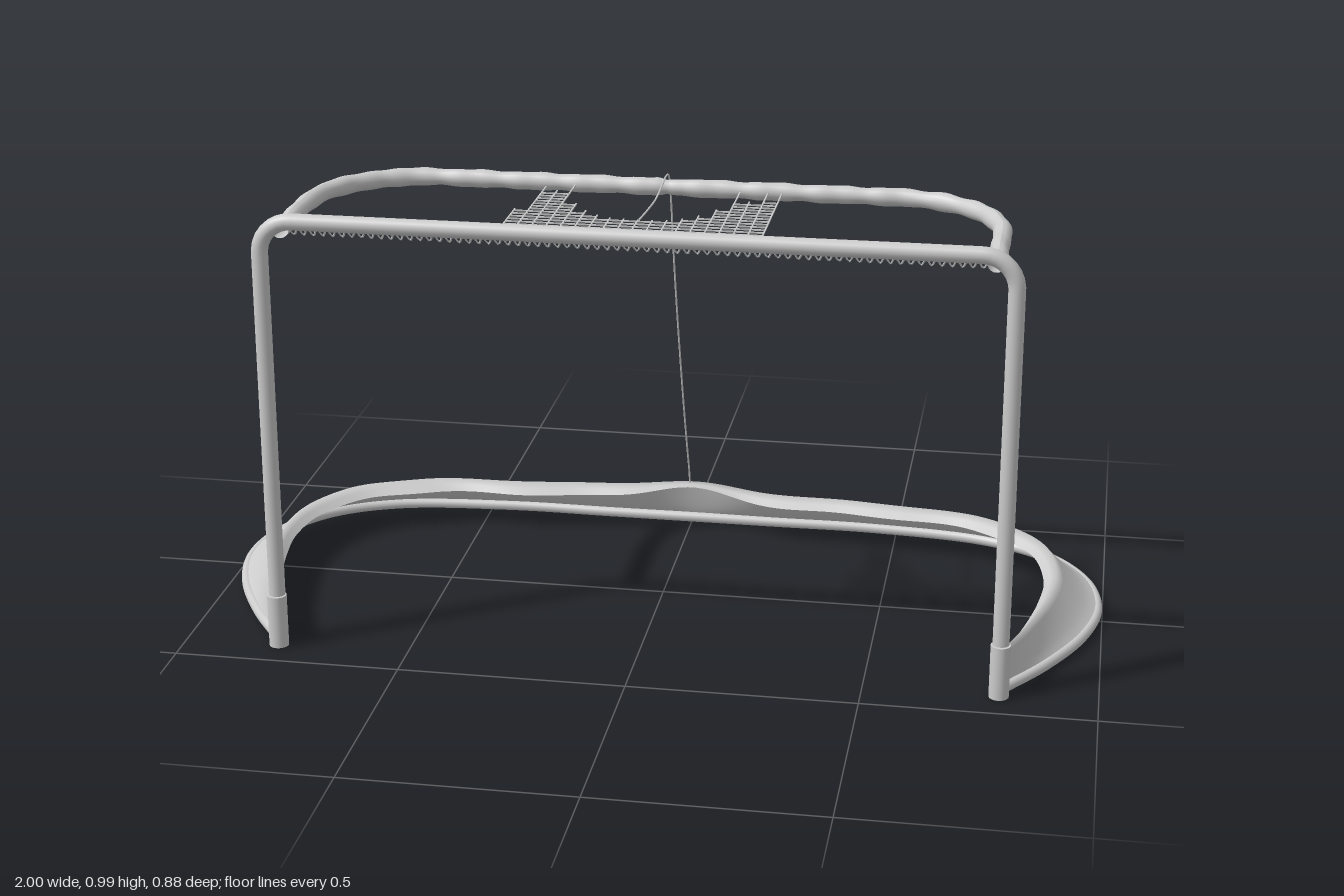
import * as THREE from 'three';
import { mergeGeometries } from 'three/addons/utils/BufferGeometryUtils.js';

const grey = new THREE.MeshStandardMaterial({ color: 0xcccccc, side: THREE.DoubleSide });
const V = (x, y, z) => new THREE.Vector3(x, y, z);

function add(group, name, geometry) {
  const mesh = new THREE.Mesh(geometry, grey);
  mesh.name = name;
  group.add(mesh);
  return mesh;
}

// Right half of a floor outline [x, z], mirrored into one curve ending back at the other post
function outline(half, y) {
  const right = half.map(([x, z]) => V(x, y, z));
  const left = half.slice(0, -1).reverse().map(([x, z]) => V(-x, y, z));
  return new THREE.CatmullRomCurve3([...right, ...left]);
}

// Thin lacing cord zigzagging between two rails
function lacing(count, pointAt) {
  const pts = [];
  for (let i = 0; i <= count * 2; i++) pts.push(pointAt(i / (count * 2), i % 2));
  return new THREE.TubeGeometry(new THREE.CatmullRomCurve3(pts), count * 8, 0.0022, 4);
}

// Path made of straight runs with rounded corners
function frameCurve() {
  const path = new THREE.CurvePath();
  const x = 0.79, y = 0.973, r = 0.07, z = 0.414, k = r * 0.45;
  path.add(new THREE.LineCurve3(V(-x, 0.02, z), V(-x, y - r, z)));
  path.add(new THREE.CubicBezierCurve3(V(-x, y - r, z), V(-x, y - k, z), V(-x + k, y, z), V(-x + r, y, z)));
  path.add(new THREE.LineCurve3(V(-x + r, y, z), V(x - r, y, z)));
  path.add(new THREE.CubicBezierCurve3(V(x - r, y, z), V(x - k, y, z), V(x, y - k, z), V(x, y - r, z)));
  path.add(new THREE.LineCurve3(V(x, y - r, z), V(x, 0.02, z)));
  return path;
}

export function createModel() {
  const goal = new THREE.Group();
  goal.name = 'goal';

  // Front posts and crossbar in one bent pipe
  add(goal, 'frontFrame', new THREE.TubeGeometry(frameCurve(), 220, 0.018, 18));

  // Sleeves at the post feet and lacing behind the posts
  for (const s of [-1, 1]) {
    const sleeve = add(goal, 'postSleeve', new THREE.CylinderGeometry(0.0215, 0.0215, 0.12, 24));
    sleeve.position.set(s * 0.79, 0.06, 0.418);
    add(goal, 'postLacing', lacing(40, (t, odd) =>
      V(s * (0.787 + odd * 0.006), 0.12 + t * 0.81, odd ? 0.388 : 0.4)));
  }
  add(goal, 'crossbarLacing', lacing(70, (t, odd) =>
    V(-0.73 + t * 1.46, odd ? 0.938 : 0.956, odd ? 0.389 : 0.402)));

  // Padded top shelf bar with a slightly lumpy cover
  const shelfCurve = new THREE.CurvePath();
  const sx = 0.748, sz = -0.053;
  shelfCurve.add(new THREE.LineCurve3(V(-sx, 0.952, 0.4), V(-sx, 0.952, 0.2)));
  shelfCurve.add(new THREE.CubicBezierCurve3(V(-sx, 0.952, 0.2), V(-sx, 0.952, 0.07), V(-0.66, 0.952, sz), V(-0.5, 0.952, sz)));
  shelfCurve.add(new THREE.LineCurve3(V(-0.5, 0.952, sz), V(0.5, 0.952, sz)));
  shelfCurve.add(new THREE.CubicBezierCurve3(V(0.5, 0.952, sz), V(0.66, 0.952, sz), V(sx, 0.952, 0.07), V(sx, 0.952, 0.2)));
  shelfCurve.add(new THREE.LineCurve3(V(sx, 0.952, 0.2), V(sx, 0.952, 0.4)));
  const bar = new THREE.TubeGeometry(shelfCurve, 200, 0.0195, 16);
  const pos = bar.attributes.position, nor = bar.attributes.normal;
  for (let i = 0; i < pos.count; i++) {
    const x = pos.getX(i), z = pos.getZ(i);
    const lump = 0.0012 * Math.sin(x * 47 + z * 61) + 0.0008 * Math.sin(x * 93 - z * 37)
      - 0.005 * Math.exp(-((x / 0.012) ** 2));
    pos.setXYZ(i, x + nor.getX(i) * lump, pos.getY(i) + nor.getY(i) * lump, z + nor.getZ(i) * lump);
  }
  bar.computeVertexNormals();
  add(goal, 'shelfBar', bar);

  // Base pipe on the floor
  const baseHalf = [[0.8, 0.4], [0.88, 0.28], [0.957, 0.12], [0.987, -0.03], [0.96, -0.18],
    [0.87, -0.31], [0.72, -0.39], [0.45, -0.424], [0.2, -0.424], [0, -0.424]];
  const crestHalf = [[0.8, 0.4], [0.842, 0.28], [0.882, 0.12], [0.894, -0.01], [0.865, -0.15],
    [0.78, -0.26], [0.64, -0.325], [0.42, -0.35], [0.2, -0.368], [0, -0.4]];
  const lipHalf = [[0.79, 0.4], [0.825, 0.28], [0.857, 0.12], [0.866, 0], [0.835, -0.14],
    [0.745, -0.24], [0.6, -0.3], [0.4, -0.318], [0.2, -0.337], [0, -0.362]];
  const base = outline(baseHalf, 0.014);
  add(goal, 'basePipe', new THREE.TubeGeometry(base, 180, 0.0125, 14));

  // Cloth skirt: rises from the base pipe to a crest, then folds inward
  const crest = outline(crestHalf, 0.11), lip = outline(lipHalf, 0.088);
  const columns = 180, rows = 8, fold = 6;
  const verts = [], index = [];
  for (let i = 0; i <= columns; i++) {
    const t = i / columns;
    const a = base.getPoint(t), b = crest.getPoint(t), c = lip.getPoint(t);
    const rise = Math.exp(-((b.x / 0.12) ** 2)) * (b.z < 0 ? 1 : 0);
    const wave = Math.sin(Math.PI * t) * 0.004 * Math.sin(t * 75);
    a.y = 0.024;
    b.y += 0.006 * rise;
    b.z += wave;
    c.y += 0.027 * rise;
    c.z += wave * 1.6;
    for (let j = 0; j <= rows; j++) {
      const p = j <= fold ? a.clone().lerp(b, j / fold) : b.clone().lerp(c, (j - fold) / (rows - fold));
      if (j <= fold) p.y = a.y + (b.y - a.y) * (j / fold) ** 1.3;
      verts.push(p.x, p.y, p.z);
      if (i < columns && j < rows) {
        const n = i * (rows + 1) + j, m = n + rows + 1;
        index.push(n, n + 1, m, n + 1, m + 1, m);
      }
    }
  }
  const skirt = new THREE.BufferGeometry();
  skirt.setAttribute('position', new THREE.Float32BufferAttribute(verts, 3));
  skirt.setIndex(index);
  skirt.computeVertexNormals();
  add(goal, 'skirt', skirt);

  // Ragged patch of net on top: one end depth per cord, cross strands where neighbours reach
  const ends = [0.28, 0.1, 0.13, 0.08, 0.22, 0.27, 0.3, 0.315, 0.32, 0.32,
    0.32, 0.315, 0.3, 0.27, 0.22, 0.08, 0.15, 0.08, 0.08];
  const strands = [], w = 0.003, netY = 0.984;
  const strand = (x0, x1, z0, z1) => strands.push(
    new THREE.BoxGeometry(x1 - x0 + w, w, z1 - z0 + w).translate((x0 + x1) / 2, netY, (z0 + z1) / 2));
  ends.forEach((end, i) => {
    const x = (i - 9) * 0.03;
    strand(x, x, end, 0.41);
    if (i === ends.length - 1) return;
    const reach = Math.max(end, ends[i + 1], 0.13);
    for (let z = 0.39; z >= reach; z -= 0.02) strand(x, x + 0.03, z, z);
  });
  add(goal, 'topNet', mergeGeometries(strands));

  // Centre cord from the net over the shelf bar down to the skirt
  const cord = [[0.982, 0.32], [0.972, 0.2], [0.967, 0.1], [0.974, 0.02], [0.981, -0.04], [0.972, -0.075],
    [0.91, -0.105], [0.75, -0.15], [0.6, -0.2], [0.46, -0.252], [0.34, -0.3], [0.22, -0.352], [0.15, -0.384], [0.112, -0.396]];
  const cordCurve = new THREE.CatmullRomCurve3(cord.map(([y, z]) => V(0, y, z)));
  add(goal, 'centreCord', new THREE.TubeGeometry(cordCurve, 90, 0.0022, 6));

  return goal;
}
